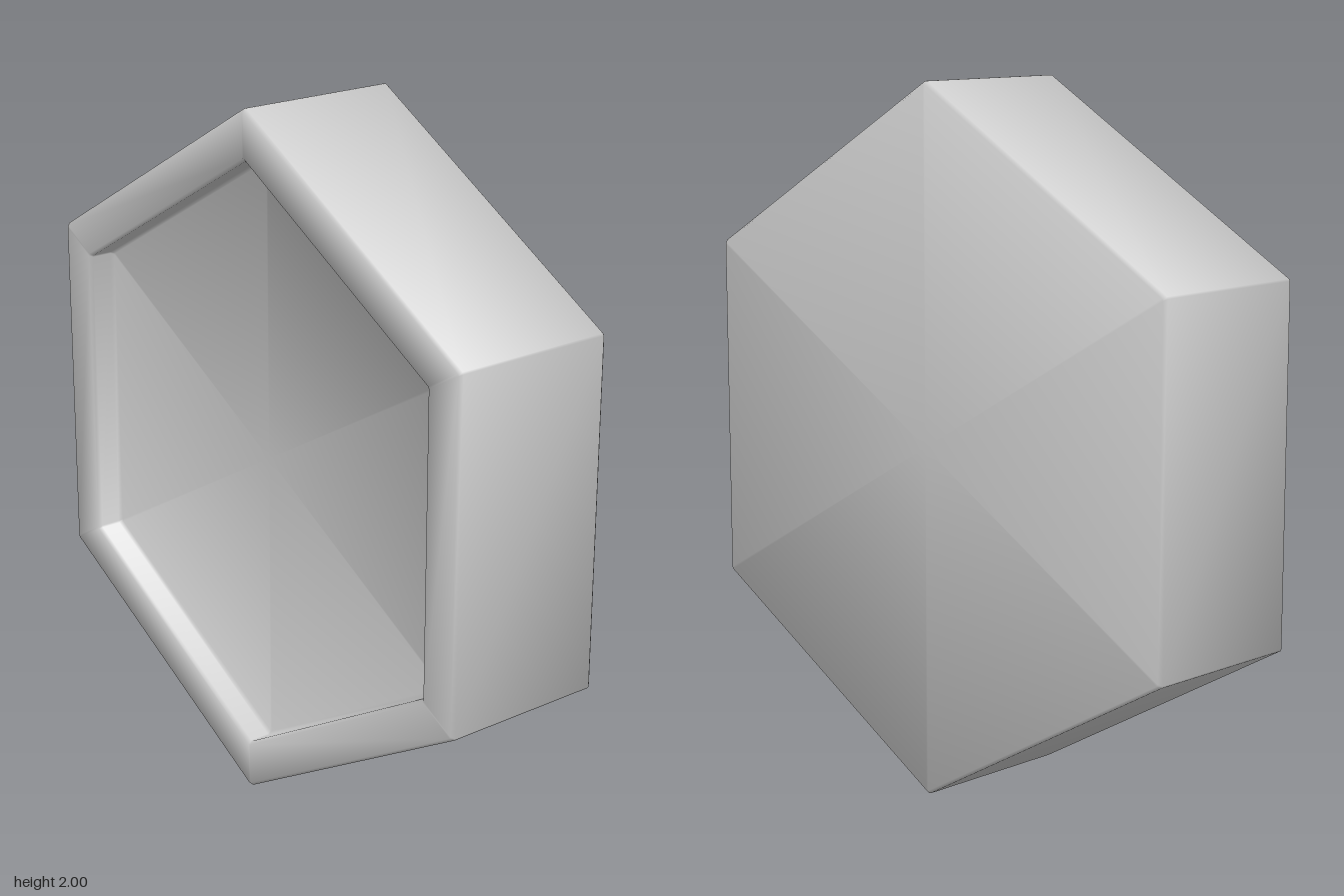
import * as THREE from 'three';

// Closed prism: a (radius, z) profile swept round a hexagon whose corners are slightly cut.
// Normals are averaged over neighbouring faces, giving softly bevelled edges.
function sweepHexagon(profile, cut) {
  const positions = [], normals = [], index = [], ring = 12;
  const segmentNormal = (i) => {
    const a = profile[i], b = profile[i + 1];
    return new THREE.Vector2(b[1] - a[1], a[0] - b[0]).normalize();
  };
  const last = profile.length - 1;
  profile.forEach(([r, z], i) => {
    const n = new THREE.Vector2();
    if (i === 0 || i === last) n.set(0, i === 0 ? -1 : 1);
    else n.addVectors(segmentNormal(i - 1), segmentNormal(i)).normalize();
    const apothem = r * Math.cos(Math.PI / 6);
    const half = Math.max(0, r / 2 - cut);
    for (let j = 0; j < ring; j++) {
      const side = j % 2 ? 1 : -1;
      const angle = Math.floor(j / 2) * Math.PI / 3;
      const c = Math.cos(angle), s = Math.sin(angle), t = side * half;
      positions.push(apothem * c - t * s, apothem * s + t * c, z);
      const soft = angle + side * Math.PI / 12; // halfway between face and corner
      normals.push(n.x * Math.cos(soft), n.x * Math.sin(soft), n.y);
      if (i < last) {
        const a = i * ring + j, b = i * ring + (j + 1) % ring;
        index.push(a, b, a + ring, b, b + ring, a + ring);
      }
    }
  });
  const geometry = new THREE.BufferGeometry();
  geometry.setAttribute('position', new THREE.Float32BufferAttribute(positions, 3));
  geometry.setAttribute('normal', new THREE.Float32BufferAttribute(normals, 3));
  geometry.setIndex(index);
  return geometry;
}

export function createModel() {
  const group = new THREE.Group();
  group.name = 'hexagonalTile';

  const b = 0.01; // bevel width
  const profile = [
    [0, -0.25], [1 - b, -0.25], [1, -0.25 + b],   // flat back
    [1, 0.25 - b], [1 - b, 0.25],                 // outer side
    [0.857 + b, 0.25], [0.857, 0.25 - b],         // front rim
    [0.857, 0.17 + b], [0.857 - b, 0.17],         // recess wall
    [0, 0.17],                                    // recess floor
  ];
  const tile = new THREE.Mesh(
    sweepHexagon(profile, 0.004),
    new THREE.MeshStandardMaterial({ color: 0xcccccc })
  );
  tile.name = 'recessedHexagonBody';
  tile.position.y = 1;
  group.add(tile);
  return group;
}
